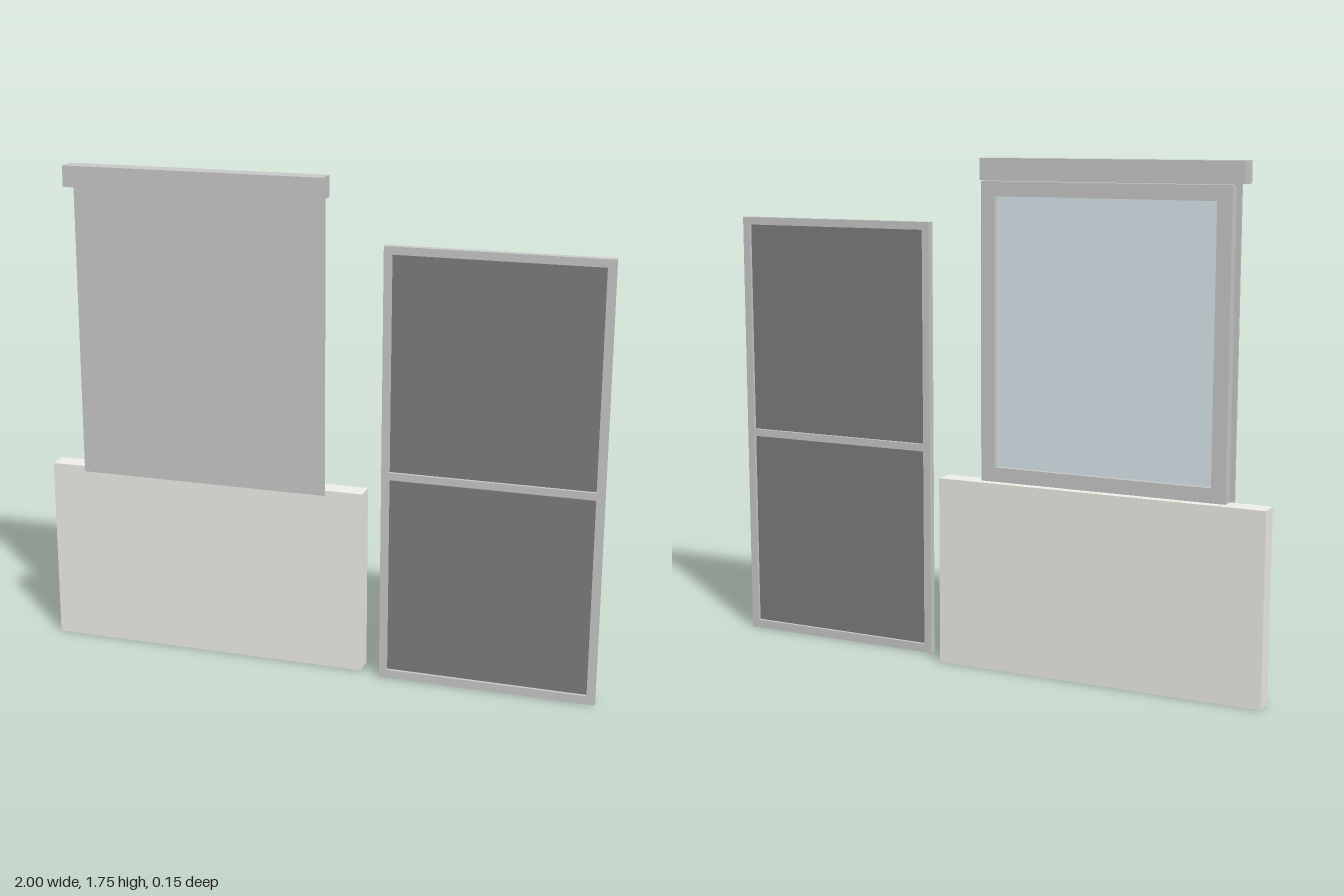
import * as THREE from 'three';

const material = (color) => new THREE.MeshStandardMaterial({ color });
const grey = material(0xcccccc);
const wallPaint = material(0xf3f1eb);
const meshGrey = material(0x7f8083);
const glassBlue = material(0xe0edf2);

// Box given by its limits on each axis
function slab(name, [x0, x1], [y0, y1], [z0, z1], mat) {
  const mesh = new THREE.Mesh(new THREE.BoxGeometry(x1 - x0, y1 - y0, z1 - z0), mat);
  mesh.position.set((x0 + x1) / 2, (y0 + y1) / 2, (z0 + z1) / 2);
  mesh.name = name;
  return mesh;
}

// Rectangular frame with one or more rectangular openings
function frame(name, [x0, x1], [y0, y1], [z0, z1], border, openings) {
  const rect = (Type, a, b, c, d) => new Type([
    new THREE.Vector2(a, c), new THREE.Vector2(b, c),
    new THREE.Vector2(b, d), new THREE.Vector2(a, d),
  ]);
  const shape = rect(THREE.Shape, x0, x1, y0, y1);
  for (const [low, high] of openings) {
    shape.holes.push(rect(THREE.Path, x0 + border, x1 - border, low, high));
  }
  const geometry = new THREE.ExtrudeGeometry(shape, { depth: z1 - z0, bevelEnabled: false });
  const mesh = new THREE.Mesh(geometry, grey);
  mesh.position.z = z0;
  mesh.name = name;
  return mesh;
}

export function createModel() {
  const model = new THREE.Group();
  model.name = 'windowWithShutterAndScreen';

  // Low wall under the window
  model.add(slab('wall', [-1, 0.167], [0, 0.66], [-0.073, 0], wallPaint));

  // Window frame and pane
  const windowUnit = new THREE.Group();
  windowUnit.name = 'window';
  windowUnit.add(
    frame('windowFrame', [-0.855, 0.02], [0.66, 1.68], [-0.042, 0], 0.05, [[0.71, 1.63]]),
    slab('glass', [-0.806, -0.029], [0.709, 1.631], [-0.026, -0.016], glassBlue),
  );
  model.add(windowUnit);

  // Roller blind: housing and hanging sheet
  const blind = new THREE.Group();
  blind.name = 'rollerBlind';
  blind.add(
    slab('blindHousing', [-0.881, 0.047], [1.682, 1.755], [0.002, 0.073], grey),
    slab('blindSheet', [-0.87, 0.034], [0.645, 1.682], [0.003, 0.013], grey),
  );
  model.add(blind);

  // Free-standing screen door with a middle rail
  const screen = new THREE.Group();
  screen.name = 'screenDoor';
  const openings = [[0.03, 0.732], [0.758, 1.508]];
  screen.add(frame('screenFrame', [0.242, 1], [0, 1.535], [0.002, 0.03], 0.027, openings));
  for (const [low, high] of openings) {
    screen.add(slab('screenMesh', [0.268, 0.974], [low - 0.001, high + 0.001], [0.013, 0.019], meshGrey));
  }
  model.add(screen);

  return model;
}
